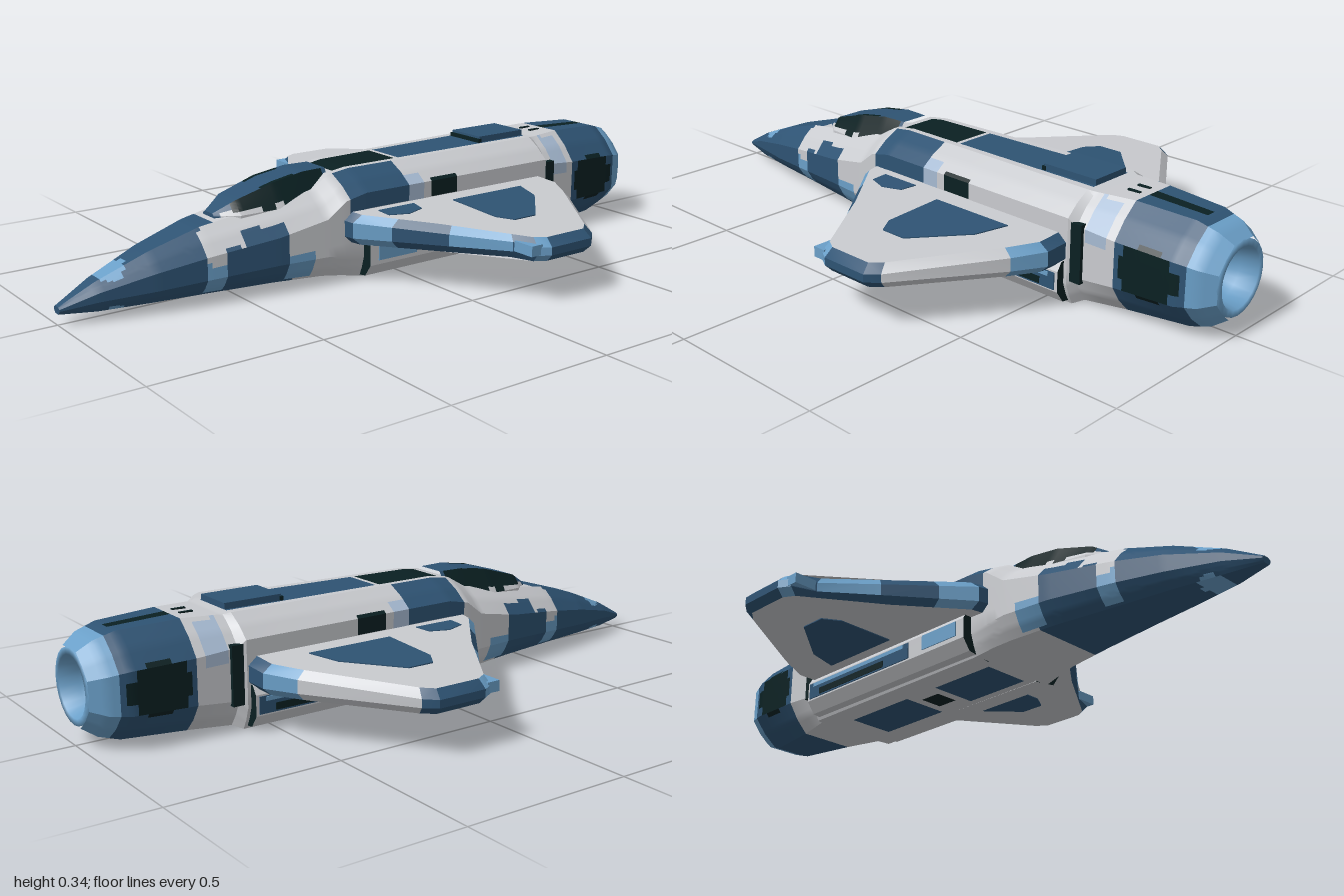
import * as THREE from 'three';
import { toCreasedNormals } from 'three/addons/utils/BufferGeometryUtils.js';

const colour = (name, hex) => Object.assign(new THREE.MeshStandardMaterial({ color: hex }), { name });
const GREY = 0, NAVY = 1, BLUE = 2, BLACK = 3, PALE = 4;
const mats = [
  colour('light grey', 0xc9cbcf), colour('navy', 0x2e5373), colour('sky blue', 0x6a9fc8),
  colour('near black', 0x0a2022), colour('pale blue', 0xa6bad2),
];

// Mesh from painted triangles { m, p: [a, b, c] }, optionally mirrored in x
function surface(name, tris, mirror = false, crease = 0.4) {
  const pos = [], geo = new THREE.BufferGeometry();
  mats.forEach((_, m) => {
    const start = pos.length / 3;
    for (const t of tris) {
      if (t.m !== m) continue;
      const p = mirror ? [...t.p].reverse() : t.p;
      for (const [x, y, z] of p) pos.push(mirror ? -x : x, y, z);
    }
    if (pos.length / 3 > start) geo.addGroup(start, pos.length / 3 - start, m);
  });
  geo.setAttribute('position', new THREE.Float32BufferAttribute(pos, 3));
  const mesh = new THREE.Mesh(toCreasedNormals(geo, crease), mats);
  mesh.name = name;
  return mesh;
}

const mix = (a, b, t) => a + (b - a) * t;

// Symmetrical loft along z; stations are rows of numbers starting with z
function loft(stations, halfSection, step, paint, caps) {
  const rings = [], tris = [], sub = 4;
  const ring = (s) => {
    const h = halfSection(s), pts = [];
    for (let i = 0; i < h.length - 1; i++)
      for (let k = 0; k < sub; k++)
        pts.push([mix(h[i][0], h[i + 1][0], k / sub), mix(h[i][1], h[i + 1][1], k / sub), s[0]]);
    pts.push([...h[h.length - 1], s[0]]);
    return [...pts, ...pts.slice(1, -1).reverse().map(([x, y, z]) => [-x, y, z])];
  };
  for (let i = 0; i < stations.length - 1; i++) {
    const a = stations[i], b = stations[i + 1];
    const n = Math.max(1, Math.round((a[0] - b[0]) / step));
    for (let k = 0; k < n; k++) rings.push(ring(a.map((v, j) => mix(v, b[j], k / n))));
  }
  rings.push(ring(stations[stations.length - 1]));
  const add = (...p) => {
    const c = [0, 1, 2].map((j) => p.reduce((s, q) => s + q[j], 0) / p.length);
    const m = paint(Math.abs(c[0]), c[1], c[2]);
    for (let i = 1; i < p.length - 1; i++) tris.push({ m, p: [p[0], p[i], p[i + 1]] });
  };
  for (let i = 0; i < rings.length - 1; i++)
    rings[i].forEach((a, j, r) => {
      const k = (j + 1) % r.length;
      add(a, r[k], rings[i + 1][k], rings[i + 1][j]);
    });
  if (caps) add(...[...rings[0]].reverse());
  return tris;
}

// Slab from an outline [x, z] and rings [inset scale, y rule] from top to bottom
function slab(outline, centre, rings, paint) {
  const R = rings.map(([s, y]) => outline.map(([x, z]) => {
    const px = mix(centre[0], x, s);
    return [px, y(px), mix(centre[1], z, s)];
  }));
  const tris = [], n = outline.length, last = R[R.length - 1];
  for (let i = 1; i < n - 1; i++) {
    tris.push({ m: paint(-1, 0), p: [R[0][0], R[0][i], R[0][i + 1]] });
    tris.push({ m: paint(-1, 1), p: [last[0], last[i + 1], last[i]] });
  }
  for (let k = 0; k < R.length - 1; k++)
    for (let i = 0; i < n; i++) {
      const j = (i + 1) % n, m = paint(i, k);
      tris.push({ m, p: [R[k][i], R[k + 1][i], R[k + 1][j]] }, { m, p: [R[k][i], R[k + 1][j], R[k][j]] });
    }
  return tris;
}

// Hull rows: z, top, top half-width, shoulder y, half-width, lower y, belly half-width, belly y
const HULL = [
  [1.0, .055, .008, .05, .018, .045, .01, .035], [.9, .108, .022, .085, .052, .06, .035, .03],
  [.75, .168, .038, .12, .092, .07, .06, .03], [.6, .213, .05, .145, .12, .08, .08, .03],
  [.4, .245, .07, .17, .15, .09, .11, .03], [.25, .27, .08, .2, .165, .09, .13, .025],
  [.19, .305, .078, .245, .17, .08, .14, .018], [.12, .315, .08, .26, .172, .07, .15, .005],
  [-.58, .32, .1, .26, .178, .07, .15, .003], [-.6, .316, .09, .24, .165, .09, .12, .01],
  [-.72, .32, .075, .23, .16, .1, .09, .012], [-.9, .313, .062, .225, .152, .105, .06, .016],
  [-.96, .295, .055, .215, .132, .112, .055, .035], [-1, .268, .042, .205, .103, .125, .042, .062],
];
const hullSection = ([, top, a, s, w, l, b, bot]) => [
  [0, top], [a, top], [mix((a + w) / 2, w, .1), mix((top + s) / 2, top, .1)], [w, s],
  [w, l], [mix((b + w) / 2, w, .1), mix((bot + l) / 2, bot, .1)], [b, bot], [0, bot],
];

// Camouflage, by half-width, height and length
function hullPaint(x, y, z) {
  const on = (z0, z1) => z > z0 && z < z1;
  const blob = (v, v0, r, z0, rz) => ((v - v0) / r) ** 2 + ((z - z0) / rz) ** 2 < 1;
  if (z < -.93) return BLUE;
  if (z < -.72) return (x < .02 && y > .2 && z > -.9) || (x > .1 && blob(y, .165, .075, -.82, .09)) ? BLACK : NAVY;
  if (z > .62) return blob(x, 0, .055, .85, .04) && (y > .11 || y < .04) ? BLUE : NAVY;
  if (z > .2) {
    if (y < .034) return z > .35 ? NAVY : GREY;
    if (z > .55) return y < .12 ? BLUE : x < .055 ? NAVY : GREY;
    if (z > .37) return y < .2 && (y < .16 || z < .5) ? NAVY : GREY;
    return z > .29 && y < .11 ? BLUE : GREY;
  }
  if (y > .29 && x < .056 && on(-.06, .16)) return BLACK;
  if (y > .29 && x < .07 && on(-.59, -.08)) return NAVY;
  if (y > .19 && x > .082 && on(-.03, .18)) return NAVY;
  if (x > .12 && y > .17 && y < .28 && on(-.09, -.03)) return PALE;
  if (x > .165 && y > .22 && on(-.22, -.12)) return BLACK;
  if (y < .03 && x < .075 && (on(-.12, .1) || on(-.5, -.24))) return NAVY;
  if (y < .03 && x < .04 && on(-.21, -.15)) return BLACK;
  if (y > .2 && x > .09 && on(-.7, -.63)) return PALE;
  return GREY;
}

// Canopy rows: z, base half-width, base y, roof half-width, roof y
const CANOPY = [
  [.54, .03, .228, .02, .234], [.48, .075, .23, .045, .268], [.36, .094, .235, .054, .303],
  [.26, .085, .255, .05, .319], [.18, .07, .285, .045, .319],
];
const canopySection = ([, w, y, a, top]) => [[0, top], [a, top], [w, y], [w, y - .035]];
const canopyPaint = (x, y, z) => {
  if (z > .52 || z < .2) return NAVY;
  if (y < .24) return GREY;
  return x < .045 ? NAVY : x > .088 ? GREY : BLACK;
};

const WING = [[.15, .2], [.2, .19], [.29, .12], [.42, .02], [.56, -.09], [.63, -.115], [.65, -.15],
  [.65, -.3], [.62, -.335], [.34, -.525], [.25, -.575], [.15, -.575]];
const PANEL = [[.235, -.15], [.42, -.15], [.47, -.18], [.47, -.26], [.33, -.39], [.235, -.42]];
const BLOTCH = [[.2, .1], [.25, .1], [.27, .04], [.25, -.02], [.2, -.03]];
const wingTop = (x) => .21 - .05 * (x - .2);
const EDGE = [NAVY, BLUE, NAVY, BLUE, NAVY, BLUE, NAVY, NAVY, GREY, BLUE, NAVY, GREY];

export function createModel() {
  const model = new THREE.Group();
  const box = (name, m, size, at) => {
    const mesh = new THREE.Mesh(new THREE.BoxGeometry(...size), mats[m]);
    mesh.position.set(...at);
    mesh.name = name;
    model.add(mesh);
  };

  model.add(surface('fuselage', loft(HULL, hullSection, .014, hullPaint, true)));
  model.add(surface('canopy', loft(CANOPY, canopySection, .014, canopyPaint, true)));

  // Engine nozzle with a recessed bore
  const bore = [[.105, .985], [.105, 1], [.086, 1], [.075, .95], [.06, .92]].map((p) => new THREE.Vector2(...p));
  const nozzle = new THREE.Mesh(new THREE.LatheGeometry(bore, 24), mats[BLUE]);
  const core = new THREE.Mesh(new THREE.CircleGeometry(.062, 24), mats[NAVY]);
  nozzle.rotation.x = -Math.PI / 2;
  nozzle.position.y = .165;
  core.rotation.y = Math.PI;
  core.position.set(0, .165, -.922);
  nozzle.name = 'nozzle';
  core.name = 'nozzleCore';
  model.add(nozzle, core);

  // Raised dorsal hatch and rear vents
  box('dorsalHatch', NAVY, [.13, .03, .18], [0, .323, -.49]);
  box('hatchSeam', BLACK, [.136, .012, .012], [0, .325, -.4]);

  const wing = slab(WING, [.3, -.2], [[.93, wingTop], [1, (x) => wingTop(x) - .022], [1, () => .143], [.94, () => .122]],
    (i, k) => (i < 0 ? GREY : i === 3 && k === 2 ? NAVY : EDGE[i]));
  const plate = (outline, m, y, t) => slab(outline, [.3, -.2], [[1, (x) => y(x) + t], [1, (x) => y(x) - t]], () => m);

  for (const s of [1, -1]) {
    const side = s > 0 ? 'left' : 'right', flip = s < 0;
    model.add(surface(side + 'Wing', wing, flip));
    model.add(surface(side + 'WingTopPanel', plate(PANEL, NAVY, wingTop, .003), flip));
    model.add(surface(side + 'WingRootPatch', plate(BLOTCH, NAVY, wingTop, .002), flip));
    model.add(surface(side + 'WingUnderPanel', plate(PANEL, NAVY, () => .122, .003), flip));
    box(side + 'WingTipCap', BLUE, [.07, .03, .04], [s * .6, .16, -.11]);

    // Intake pod beneath the wing root
    const shape = new THREE.Shape([[.1, .135], [.188, .135], [.203, .11], [.203, .05], [.178, .015], [.1, .004]]
      .map(([x, y]) => new THREE.Vector2(s * x, y)));
    const pod = new THREE.Mesh(new THREE.ExtrudeGeometry(shape, { depth: .7, bevelEnabled: false }), [mats[BLACK], mats[GREY]]);
    pod.position.z = -.57;
    pod.name = side + 'IntakePod';
    model.add(pod);
    box(side + 'PodBand', NAVY, [.006, .05, .46], [s * .203, .08, -.33]);
    box(side + 'PodStripe', BLUE, [.006, .012, .42], [s * .206, .097, -.33]);
    box(side + 'PodSlot', BLACK, [.006, .02, .3], [s * .205, .07, -.36]);
    box(side + 'PodFrontBand', BLUE, [.006, .045, .14], [s * .203, .085, .03]);

    // Dark slot between wing root and engine
    box(side + 'AftSlot', BLACK, [.03, .17, .035], [s * .16, .165, -.605]);
    box(side + 'AftVent', BLACK, [.01, .006, .04], [s * .022, .319, -.675]);
  }
  return model;
}
